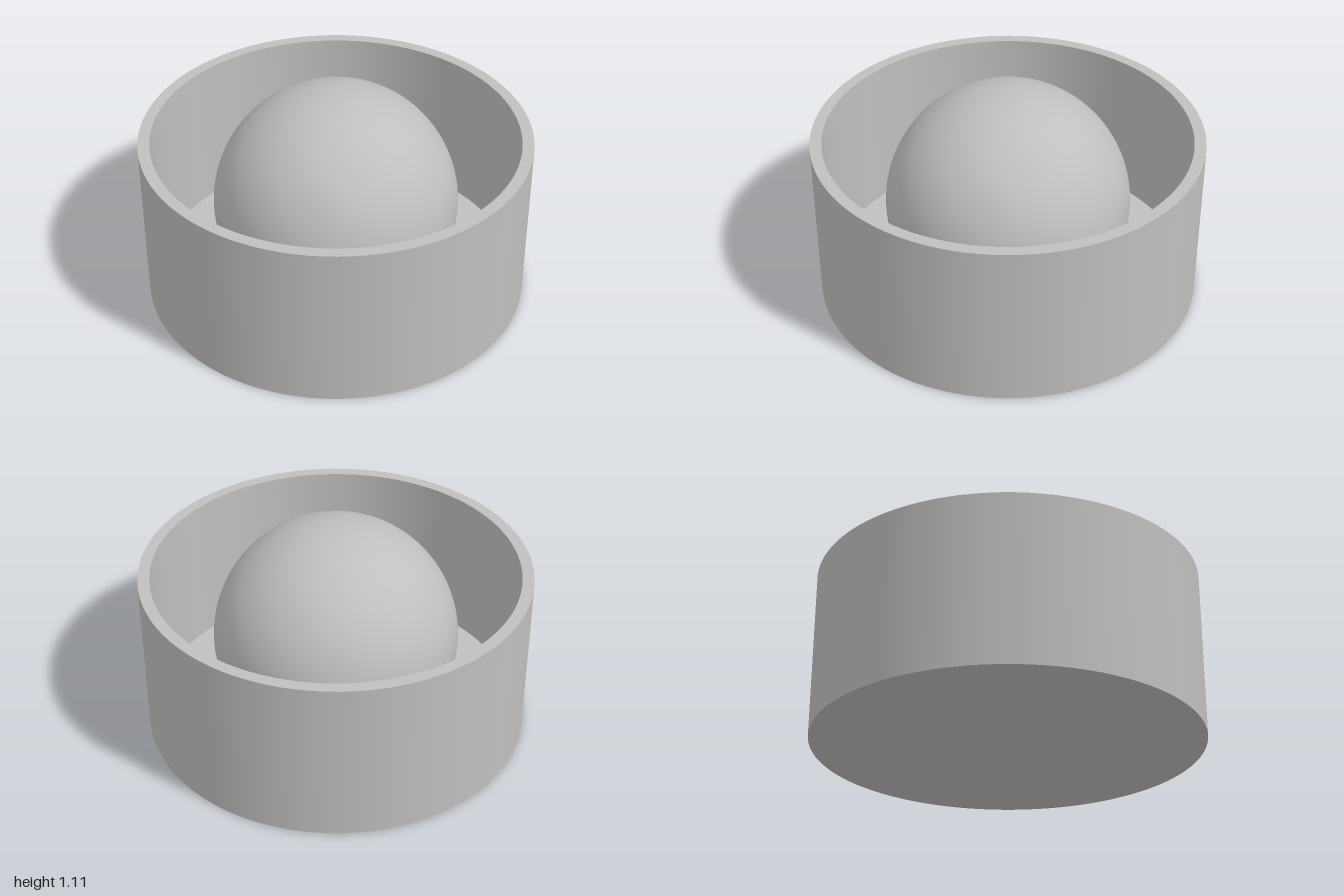
import * as THREE from 'three';
import { mergeGeometries } from 'three/addons/utils/BufferGeometryUtils.js';

const HEIGHT = 0.88, OUTER = 1, INNER = 0.94, FLOOR = 0.06;
const BALL_RADIUS = 0.635, BALL_CENTRE = 0.475;

// Revolves each profile segment on its own, so corners stay sharp and walls smooth
function revolve(profile, sides) {
  const bands = [];
  for (let i = 0; i < profile.length - 1; i++) {
    const ends = [profile[i], profile[i + 1]].map(([r, y]) => new THREE.Vector2(r, y));
    bands.push(new THREE.LatheGeometry(ends, sides));
  }
  return mergeGeometries(bands);
}

export function createModel() {
  const grey = new THREE.MeshStandardMaterial({ color: 0xbfbfbf });
  grey.name = 'plain grey';
  const model = new THREE.Group();
  model.name = 'ballInCup';

  // Round open cup with a thin wall and floor
  const cup = new THREE.Mesh(revolve([
    [0, 0], [OUTER, 0], [OUTER, HEIGHT], [INNER, HEIGHT], [INNER, FLOOR], [0, FLOOR],
  ], 96), grey);
  cup.name = 'cup';
  model.add(cup);

  // Ball sunk into the cup floor, cut off where it meets the floor
  const cut = Math.acos((FLOOR - BALL_CENTRE) / BALL_RADIUS);
  const ball = new THREE.Mesh(
    new THREE.SphereGeometry(BALL_RADIUS, 96, 48, 0, Math.PI * 2, 0, cut), grey);
  ball.name = 'ball';
  ball.position.y = BALL_CENTRE;
  model.add(ball);

  return model;
}
